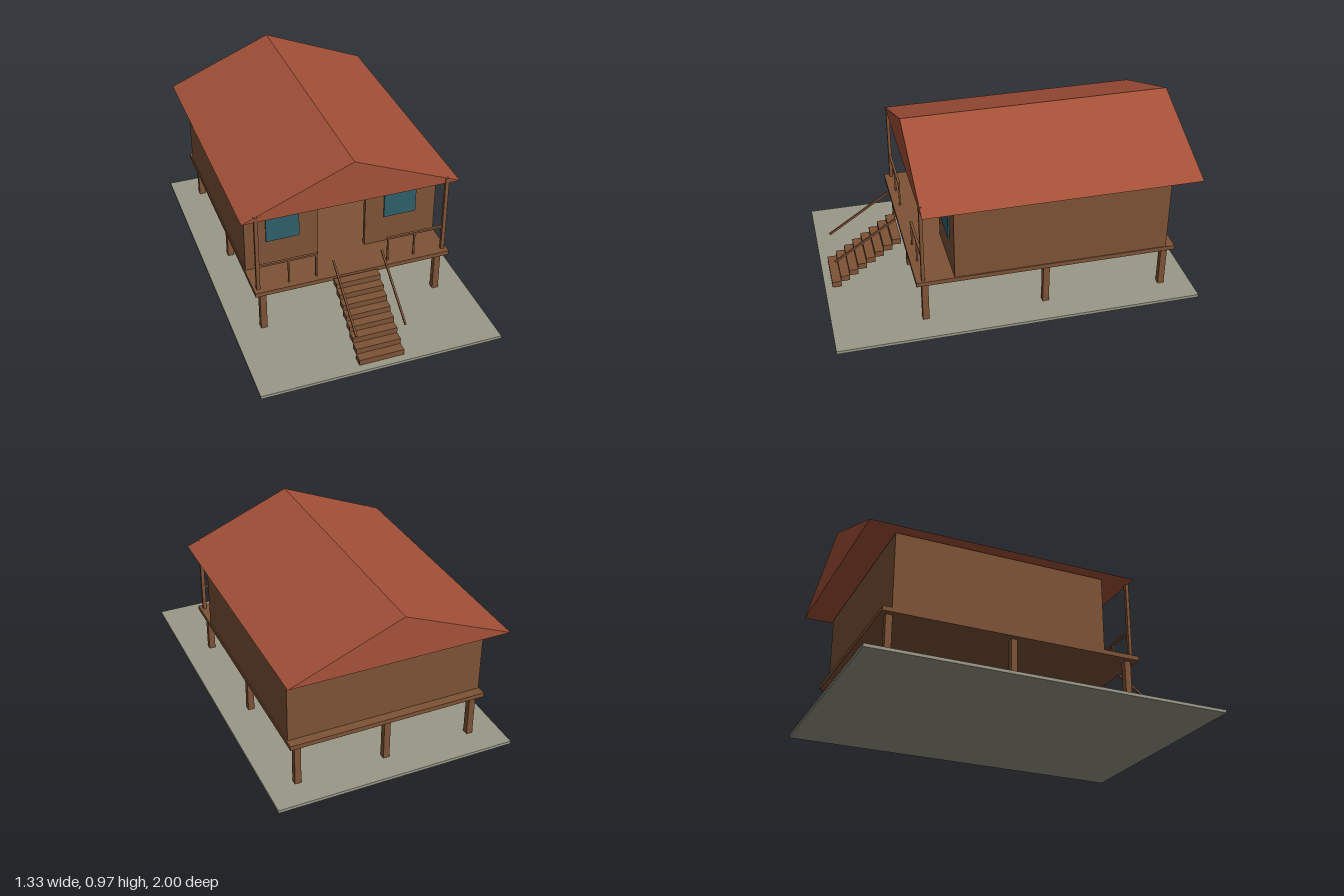
import * as THREE from 'three';

const mat = (name, color) => {
  const m = new THREE.MeshStandardMaterial({ color });
  m.name = name;
  return m;
};

export function createModel() {
  const wood = mat('brown wood', 0x7d5236);
  const tile = mat('red roof', 0xa45138);
  const earth = mat('grey ground', 0x9a9888);
  const glass = mat('teal glass', 0x2f5f69);

  const model = new THREE.Group();
  model.name = 'stiltHouse';

  const add = (name, geometry, material, x = 0, y = 0, z = 0) => {
    const mesh = new THREE.Mesh(geometry, material);
    mesh.name = name;
    mesh.position.set(x, y, z);
    model.add(mesh);
    return mesh;
  };
  // Box given by its limits on each axis
  const box = (name, material, [x0, x1], [y0, y1], [z0, z1]) =>
    add(name, new THREE.BoxGeometry(x1 - x0, y1 - y0, z1 - z0), material,
      (x0 + x1) / 2, (y0 + y1) / 2, (z0 + z1) / 2);
  const around = (c, w) => [c - w / 2, c + w / 2];

  // Ground slab and raised deck
  const groundTop = 0.017, deckBottom = 0.265, deckTop = 0.29;
  box('ground', earth, [-0.667, 0.667], [0, groundTop], [-1, 1]);
  box('deck', wood, [-0.55, 0.55], [deckBottom, deckTop], [-0.88, 0.55]);

  // Stilts, three rows of three
  for (const x of [-0.5, 0, 0.5])
    for (const z of [0.5, -0.165, -0.835])
      box('stilt', wood, around(x, 0.035), [groundTop, deckBottom], around(z, 0.035));

  // Walls, with an open doorway in the front one
  const wallTop = 0.71, t = 0.025, front = 0.345, back = -0.83;
  for (const s of [-1, 1])
    box('sideWall', wood, around(s * (0.545 - t / 2), t), [deckTop, wallTop], [back, front]);
  box('backWall', wood, [-0.52, 0.52], [deckTop, wallTop], [back, back + t]);
  const wall = new THREE.Shape([
    [-0.52, deckTop], [-0.135, deckTop], [-0.135, 0.635], [0.135, 0.635],
    [0.135, deckTop], [0.52, deckTop], [0.52, wallTop], [-0.52, wallTop],
  ].map(([x, y]) => new THREE.Vector2(x, y)));
  add('frontWall', new THREE.ExtrudeGeometry(wall, { depth: t, bevelEnabled: false }),
    wood, 0, 0, front - t);

  // Gabled roof
  const gable = new THREE.Shape([
    new THREE.Vector2(-0.6, 0.72), new THREE.Vector2(0.6, 0.72), new THREE.Vector2(0, 0.967),
  ]);
  add('roof', new THREE.ExtrudeGeometry(gable, { depth: 1.5, bevelEnabled: false }),
    tile, 0, 0, -0.985);

  // Windows, porch posts, railings and stair handrails on both sides
  for (const s of [-1, 1]) {
    box('window', glass, around(s * 0.335, 0.185), [0.456, 0.612], [front, front + 0.008]);
    box('porchPost', wood, around(s * 0.525, 0.02), [deckTop, 0.75], around(0.511, 0.018));
    box('railing', wood, around(s * 0.358, 0.325), [0.43, 0.441], around(0.511, 0.014));
    for (const x of [0.355, 0.203])
      box('railingPost', wood, around(s * x, 0.009), [deckTop, 0.43], around(0.511, 0.009));

    const low = new THREE.Vector3(s * 0.135, 0.197, 0.931);
    const high = new THREE.Vector3(s * 0.135, 0.428, 0.586);
    const rail = add('handrail',
      new THREE.BoxGeometry(0.01, 0.011, low.distanceTo(high)), wood);
    rail.position.copy(low).add(high).multiplyScalar(0.5);
    rail.lookAt(high);
  }

  // Stair treads
  const rise = 0.0334, run = 0.0496;
  for (let i = 0; i < 8; i++) {
    const y = groundTop + i * rise, z = 0.957 - i * run;
    box('stairTread', wood, [-0.124, 0.124], [y, y + rise], [z - run, z]);
  }

  return model;
}
